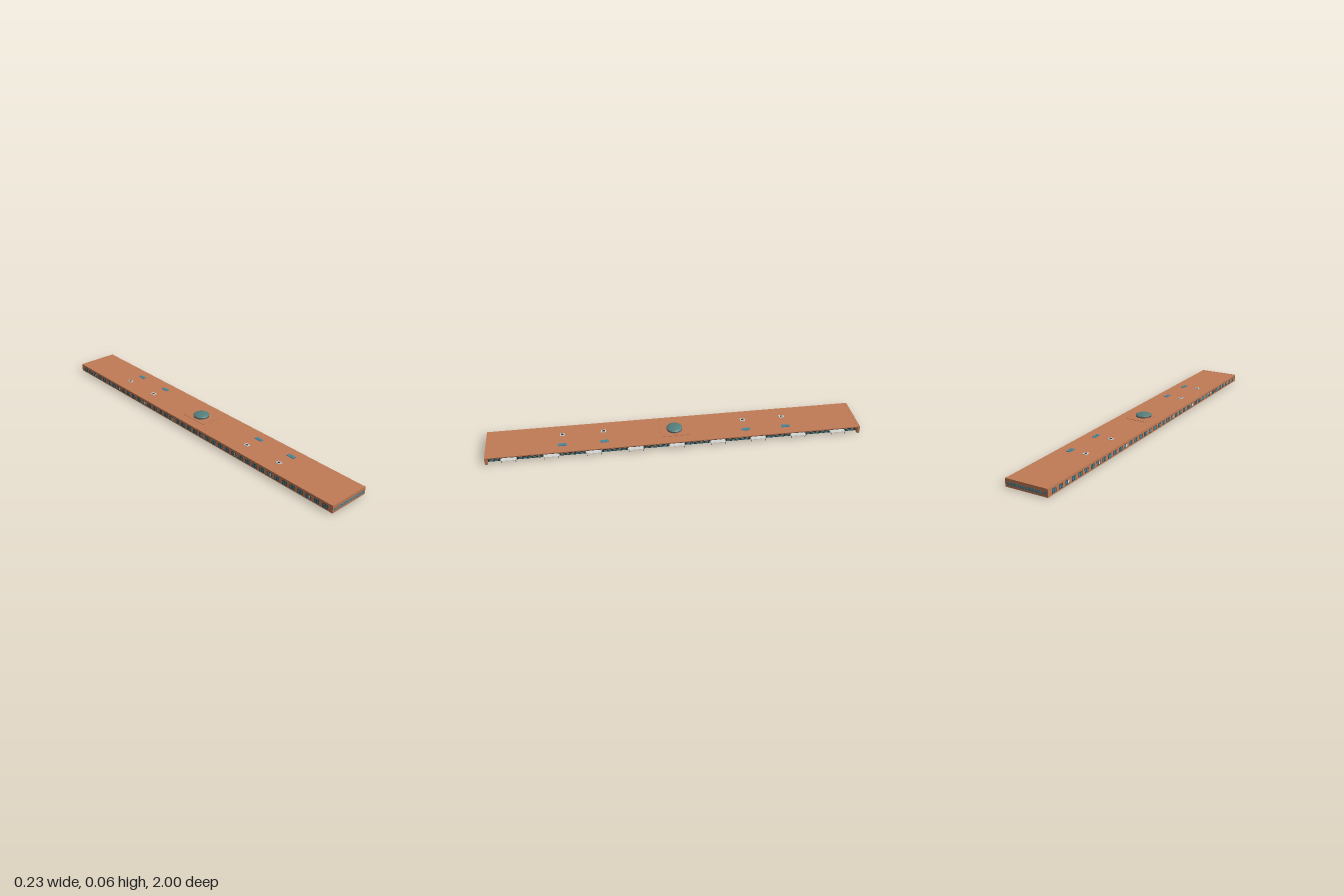
import * as THREE from 'three';

const mat = (name, color) => {
  const m = new THREE.MeshStandardMaterial({ color });
  m.name = name;
  return m;
};

export function createModel() {
  const brick = mat('brick', 0xc07b56);
  const floorTan = mat('floor tan', 0xb89c78);
  const glass = mat('blue glass', 0x45859a);
  const domeGlass = mat('dome glass', 0x557f7c);
  const dark = mat('dark metal', 0x34383a);
  const pale = mat('pale metal', 0xd4d6d4);

  const model = new THREE.Group();
  model.name = 'terminalBuilding';

  // Box given by its min and max corners
  const box = (name, material, x0, x1, y0, y1, z0, z1, parent = model) => {
    const mesh = new THREE.Mesh(new THREE.BoxGeometry(x1 - x0, y1 - y0, z1 - z0), material);
    mesh.position.set((x0 + x1) / 2, (y0 + y1) / 2, (z0 + z1) / 2);
    mesh.name = name;
    parent.add(mesh);
  };
  const group = (name) => {
    const g = new THREE.Group();
    g.name = name;
    model.add(g);
    return g;
  };

  const W = 0.115, PORCH = 0.088;

  // Floor slab, main hall, roof overhanging the open porch
  box('floorSlab', floorTan, -W + 0.0006, PORCH, 0, 0.001, -0.9865, 0.9865);
  box('hall', brick, -W + 0.0006, PORCH, 0.001, 0.036, -0.9865, 0.9865);
  box('roof', brick, -W, 0.113, 0.036, 0.041, -0.9865, 0.9865);
  box('porchSoffit', dark, PORCH, 0.112, 0.0345, 0.036, -0.9865, 0.9865);

  // End walls with a row of uneven windows
  const endWindows = [
    [-0.105, -0.096], [-0.087, -0.084], [-0.081, -0.078], [-0.075, -0.072],
    [-0.069, -0.060], [-0.057, -0.047], [-0.042, -0.027], [-0.023, -0.009],
    [-0.006, 0.003], [0.008, 0.022], [0.026, 0.036], [0.041, 0.048],
    [0.051, 0.056], [0.058, 0.072], [0.075, 0.087], [0.093, 0.098], [0.100, 0.105],
  ];
  for (const s of [1, -1]) {
    const end = group(s > 0 ? 'frontEnd' : 'backEnd');
    box('endWall', brick, -W, W, 0.0005, 0.0415, s * 0.993 - 0.0065, s * 0.993 + 0.0065, end);
    box('endSill', floorTan, -W, W, 0, 0.0005, s * 0.993 - 0.0065, s * 0.993 + 0.0065, end);
    for (const [a, b] of endWindows)
      box('endWindow', glass, a, b, 0.0105, 0.025, s * 0.9995 - 0.0005, s * 0.9995 + 0.0005, end);
  }

  // Long sides: upper windows over a glazed ground floor, and a plain window row
  const porch = group('porchSide');
  const rear = group('plainSide');
  const bays = 40, pitch = 1.96 / bays;
  box('groundFloorFrame', dark, PORCH, PORCH + 0.001, 0, 0.0135, -0.9865, 0.9865, porch);
  for (let i = 0; i < bays; i++) {
    const z = -0.98 + (i + 0.5) * pitch;
    box('upperFrame', dark, PORCH, PORCH + 0.001, 0.0155, 0.0305, z - 0.015, z + 0.015, porch);
    box('upperWindow', glass, PORCH + 0.001, PORCH + 0.002, 0.0175, 0.0285, z - 0.010, z + 0.010, porch);
    for (const s of [-1, 1])
      box('groundGlazing', i % 3 ? domeGlass : glass, PORCH + 0.001, PORCH + 0.002,
        0.002, 0.0115, z + s * 0.0115 - 0.0085, z + s * 0.0115 + 0.0085, porch);
    // Lit pilasters along the back half of the porch
    if (z > -0.62 && z < -0.04)
      box('palePilaster', pale, PORCH, PORCH + 0.002, 0.0165, 0.0295, z + pitch / 2 - 0.004, z + pitch / 2 + 0.004, porch);
    box('sideFrame', dark, -W + 0.0002, -W + 0.0006, 0.007, 0.0285, z - 0.015, z + 0.015, rear);
    for (const s of [-1, 1])
      box('sideWindow', s > 0 && i % 5 === 2 ? pale : glass, -W, -W + 0.0002,
        0.009, 0.0265, z + s * 0.007 - 0.005, z + s * 0.007 + 0.005, rear);
  }

  // Entrance canopies on short posts
  for (let i = 0; i < 9; i++) {
    const z = (i - 4) * 0.22;
    box('canopy', pale, PORCH, 0.112, 0.0137, 0.0153, z - 0.04, z + 0.04, porch);
    for (const s of [-1, 1])
      box('canopyPost', dark, 0.109, 0.111, 0, 0.0137, z + s * 0.037 - 0.001, z + s * 0.037 + 0.001, porch);
  }

  // Roof lights and ventilators
  for (const z of [-0.6, -0.38, 0.38, 0.6]) {
    const unit = group('roofUnits');
    for (const s of [-1, 1])
      box('skylight', glass, 0.042, 0.062, 0.041, 0.0435, z + s * 0.0115 - 0.0105, z + s * 0.0115 + 0.0105, unit);
    box('ventilator', pale, -0.046, -0.025, 0.041, 0.0445, z - 0.013, z + 0.013, unit);
    box('ventilatorOpening', dark, -0.041, -0.030, 0.0445, 0.0449, z - 0.007, z + 0.007, unit);
  }

  // Low base, windowed drum and shallow dome
  const dome = group('dome');
  box('domeBase', brick, -0.062, 0.058, 0.041, 0.0428, -0.08, 0.08, dome);
  const spin = (name, material, points) => {
    const mesh = new THREE.Mesh(
      new THREE.LatheGeometry(points.map(([r, y]) => new THREE.Vector2(r, y)), 32), material);
    mesh.position.x = -0.005;
    mesh.name = name;
    dome.add(mesh);
  };
  spin('drumFoot', dark, [[0.042, 0.0428], [0.0405, 0.0442], [0.036, 0.0445]]);
  spin('drum', brick, [[0.038, 0.0435], [0.0405, 0.0522]]);
  spin('domeShell', domeGlass,
    [[0.0405, 0.0518], [0.0425, 0.0522], [0.036, 0.0552], [0.028, 0.0574], [0.019, 0.0589], [0.01, 0.0598], [0, 0.0601]]);
  for (let i = 0; i < 16; i++) {
    const a = (i / 16) * Math.PI * 2;
    const pane = new THREE.Mesh(new THREE.BoxGeometry(0.009, 0.0042, 0.002), glass);
    pane.position.set(-0.005 + Math.sin(a) * 0.039, 0.0482, Math.cos(a) * 0.039);
    pane.rotation.y = a;
    pane.name = 'drumWindow';
    dome.add(pane);
  }

  return model;
}
